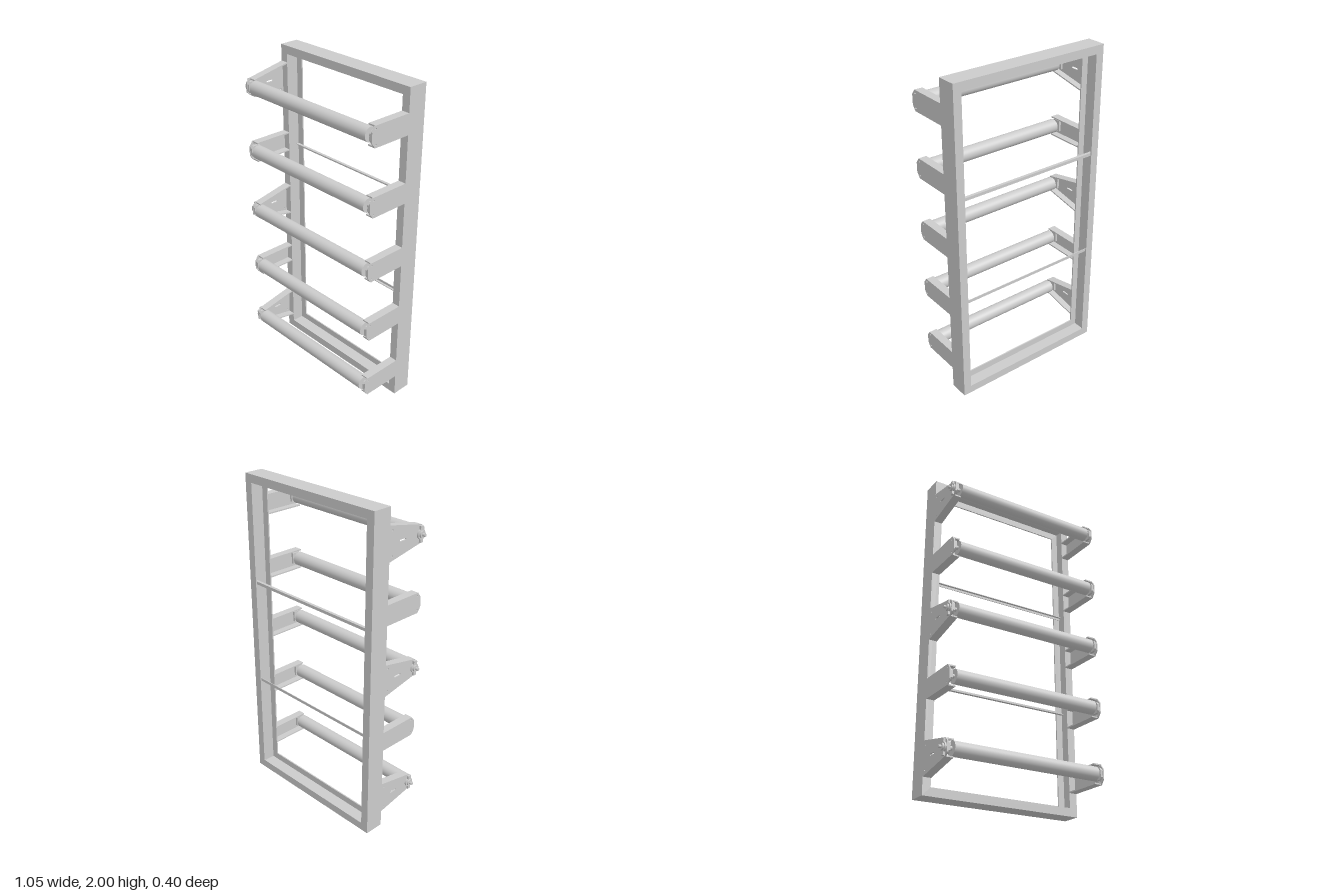
import * as THREE from 'three';

const material = new THREE.MeshStandardMaterial({ color: 0xcccccc });
const T = 0.008;          // sheet thickness
const HALF = 0.505;       // half the frame width
const CX = 0.015;         // frame centre in x
const AXIS_Z = 0.157;     // roller axis

function add(parent, name, geometry, x = 0, y = 0, z = 0) {
  const mesh = new THREE.Mesh(geometry, material);
  mesh.name = name;
  mesh.position.set(x, y, z);
  parent.add(mesh);
  return mesh;
}

// box given by its limits
function slab(parent, name, x0, x1, y0, y1, z0, z1) {
  return add(parent, name, new THREE.BoxGeometry(x1 - x0, y1 - y0, z1 - z0),
    (x0 + x1) / 2, (y0 + y1) / 2, (z0 + z1) / 2);
}

// outline in (z, y) extruded from x0 to x1
function plate(parent, name, points, x0, x1, holes = []) {
  const shape = new THREE.Shape(points.map(p => new THREE.Vector2(...p)));
  shape.holes.push(...holes);
  const geometry = new THREE.ExtrudeGeometry(shape, { depth: x1 - x0, bevelEnabled: false, curveSegments: 8 });
  geometry.rotateY(-Math.PI / 2);
  return add(parent, name, geometry, x1);
}

// cylinder along x
function rod(parent, name, r, x0, x1, segments = 32) {
  const geometry = new THREE.CylinderGeometry(r, r, x1 - x0, segments).rotateZ(Math.PI / 2);
  return add(parent, name, geometry, (x0 + x1) / 2, 0, AXIS_Z);
}

function roundHole(z, y, r) {
  return new THREE.Path().absarc(z, y, r, 0, Math.PI * 2, true);
}

function slot(z0, z1, y, r) {
  const path = new THREE.Path();
  path.absarc(z0, y, r, Math.PI / 2, Math.PI * 1.5, false);
  path.absarc(z1, y, r, -Math.PI / 2, Math.PI / 2, false);
  path.closePath();
  return path;
}

// channel bracket on the +x side; rootHalf and tipHalf are half heights
function bracket(rootHalf, tipHalf, tapered) {
  const g = new THREE.Group();
  g.name = tapered ? 'taperedBracket' : 'straightBracket';
  const z0 = -0.08, z1 = 0.165;
  const holes = [roundHole(0.16, 0.042, 0.005), roundHole(0.16, -0.042, 0.005)];
  if (tapered) {
    holes.push(slot(0.0, 0.04, 0, 0.005));
    for (const s of [-1, 1]) holes.push(roundHole(-0.06, s * 0.07, 0.005));
  }
  plate(g, 'bracketWeb', [
    [z0, -rootHalf], [z1, -tipHalf], [0.188, -0.03], [0.188, 0.03], [z1, tipHalf], [z0, rootHalf],
  ], HALF - T, HALF, holes);
  for (const s of [-1, 1]) {
    const pts = [[z0, s * rootHalf], [z0, s * (rootHalf - T)], [z1, s * (tipHalf - T)], [z1, s * tipHalf]];
    plate(g, 'bracketFlange', s > 0 ? pts : pts.reverse(), HALF - 0.05, HALF - T);
  }
  // bearing seat inside the web
  plate(g, 'bearingSeat', [
    [0.125, -0.034], [0.175, -0.034], [0.186, -0.02], [0.186, 0.02], [0.175, 0.034], [0.125, 0.034],
  ], HALF - 0.022, HALF - T);
  rod(g, 'axleStub', 0.012, HALF - 0.05, HALF - T, 16);
  if (tapered) {
    // flange bearing and drive shaft outside the web
    rod(g, 'bearingFlange', 0.028, HALF, HALF + 0.01);
    rod(g, 'bearingHub', 0.02, HALF + 0.01, HALF + 0.02);
    rod(g, 'driveShaft', 0.009, HALF + 0.02, HALF + 0.036, 16);
    for (const s of [-1, 1]) slab(g, 'bearingLug', HALF, HALF + 0.012, s * 0.036 - 0.01, s * 0.036 + 0.01, 0.147, 0.167);
  }
  return g;
}

export function createModel() {
  const model = new THREE.Group();
  model.name = 'rollerRack';
  const body = new THREE.Group();
  body.name = 'rackBody';
  body.position.x = CX;
  model.add(body);

  // frame of channel section, open towards the inside
  const frame = new THREE.Group();
  frame.name = 'frame';
  body.add(frame);
  const back = -0.2, front = -0.08, lip = 0.05;
  for (const s of [-1, 1]) {
    const xm = s * (HALF - T / 2);
    slab(frame, 'sideWeb', xm - T / 2, xm + T / 2, 0, 2, back, front);
    const ym = 1 + s * (1 - T / 2);
    slab(frame, 'crossWeb', -HALF + T, HALF - T, ym - T / 2, ym + T / 2, back, front);
  }
  const ring = new THREE.Shape([[-HALF, 0], [HALF, 0], [HALF, 2], [-HALF, 2]].map(p => new THREE.Vector2(...p)));
  const ix = HALF - lip;
  ring.holes.push(new THREE.Path([[-ix, lip], [-ix, 2 - lip], [ix, 2 - lip], [ix, lip]].map(p => new THREE.Vector2(...p))));
  for (const [name, z] of [['frontLip', front - T], ['backLip', back]]) {
    add(frame, name, new THREE.ExtrudeGeometry(ring, { depth: T, bevelEnabled: false }), 0, 0, z);
  }

  // thin angle bars across the back
  for (const [y, s] of [[1.336, 1], [0.67, -1]]) {
    slab(body, 'crossBar', -HALF + T, HALF - T, y - 0.009, y + 0.009, back + T, back + T + 0.004);
    const edge = y + s * 0.007;
    slab(body, 'crossBarLeg', -HALF + T, HALF - T, edge - 0.002, edge + 0.002, back + T, back + T + 0.018);
  }

  // five rollers, every second one with a driven end on the right
  for (let i = 0; i < 5; i++) {
    const row = new THREE.Group();
    row.name = 'rollerRow';
    row.position.y = 0.2 + 0.4 * i;
    body.add(row);
    rod(row, 'roller', 0.042, -0.463, 0.465, 48);
    row.add(bracket(0.061, 0.061, false));
    const driven = i % 2 === 0;
    const right = driven ? bracket(0.1, 0.051, true) : bracket(0.061, 0.061, false);
    right.rotation.z = Math.PI;   // sections are symmetric top to bottom
    row.add(right);
  }
  return model;
}
